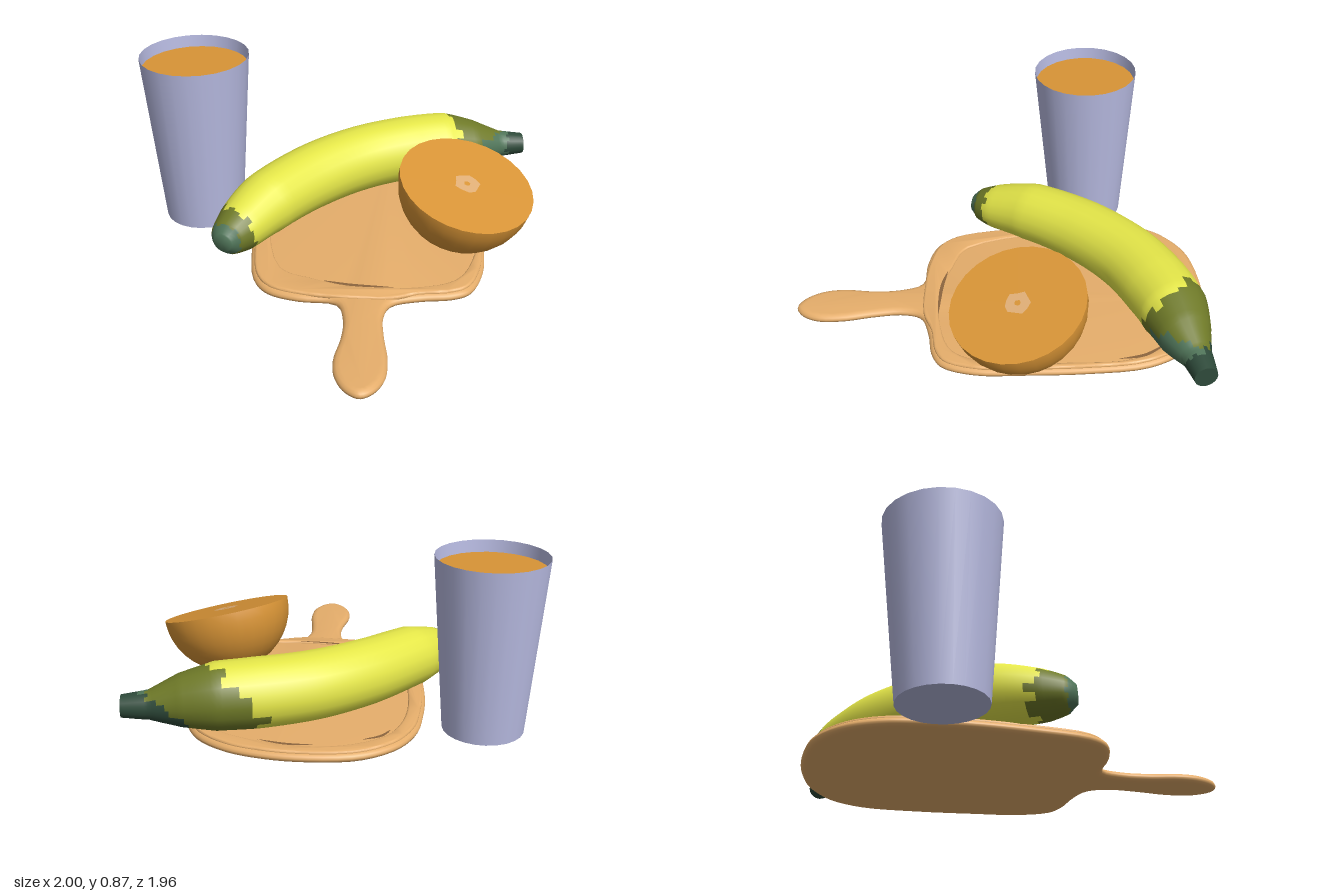
import * as THREE from 'three';
import { toCreasedNormals } from 'three/addons/utils/BufferGeometryUtils.js';

const mat = (name, color, side = THREE.FrontSide) => {
  const m = new THREE.MeshStandardMaterial({ color, side });
  m.name = name;
  return m;
};

const add = (parent, name, geometry, material, x = 0, y = 0, z = 0) => {
  const m = new THREE.Mesh(geometry, material);
  m.name = name;
  m.position.set(x, y, z);
  parent.add(m);
};

// Smooth closed outline through [x, z] points, as 2D points
const outline = (pts, n, scale = 1) => new THREE.CatmullRomCurve3(
  pts.map(([x, z]) => new THREE.Vector3(x * scale, (z - 0.07) * scale + 0.07, 0)), true
).getPoints(n).slice(0, -1).map(p => new THREE.Vector2(p.x, p.y));

// Bevelled slab lying flat, its top face at y = 0
function slab(shape, thickness, bevel, inset) {
  const g = new THREE.ExtrudeGeometry(shape, {
    depth: thickness - 2 * bevel, bevelThickness: bevel, bevelSize: inset,
    bevelOffset: -inset, bevelSegments: 3, curveSegments: 1
  });
  g.translate(0, 0, bevel).rotateX(Math.PI / 2);
  return toCreasedNormals(g, 0.9);
}

function board(wood, groove) {
  const group = new THREE.Group();
  group.name = 'choppingBoard';
  const body = [[-0.62, 0.44], [-0.72, 0.3], [-0.78, 0.16], [-0.76, 0.04], [-0.6, -0.17], [-0.4, -0.39],
    [-0.25, -0.52], [-0.1, -0.625], [0.08, -0.675], [0.28, -0.635], [0.48, -0.48], [0.61, -0.32],
    [0.69, -0.16], [0.71, 0.02], [0.64, 0.2], [0.44, 0.41], [0.22, 0.6], [0.03, 0.75], [-0.13, 0.81],
    [-0.22, 0.78], [-0.33, 0.69], [-0.45, 0.625]];
  const handle = [[-0.54, 0.66], [-0.64, 0.76], [-0.74, 0.88], [-0.84, 0.96], [-0.93, 0.98], [-0.985, 0.96],
    [-1, 0.89], [-0.97, 0.8], [-0.9, 0.72], [-0.78, 0.64], [-0.68, 0.55]];
  const inner = [[0.1, -0.59], [0.34, -0.5], [0.54, -0.26], [0.63, 0], [0.57, 0.22], [0.35, 0.43], [0.1, 0.64],
    [-0.13, 0.72], [-0.33, 0.61], [-0.5, 0.42], [-0.58, 0.26], [-0.63, 0.08], [-0.3, -0.37], [-0.06, -0.55]];

  // Base with handle
  add(group, 'boardBase', slab(new THREE.Shape(outline([...body, ...handle], 130)), 0.044, 0.02, 0.03),
    wood, 0, 0.075, 0);

  // Raised rim around the cutting area
  const rim = new THREE.Shape(outline(body, 90, 0.975));
  rim.holes.push(new THREE.Path(outline(inner, 70)));
  add(group, 'boardRim', slab(rim, 0.024, 0.008, 0.012), wood, 0, 0.086, 0);

  // Tapering carved marks along the inside of the rim
  const marks = [[[0.02, -0.57], [0.1, -0.585], [0.19, -0.555]], [[0.39, -0.45], [0.48, -0.36], [0.55, -0.24]],
    [[0.63, 0.05], [0.6, 0.17], [0.52, 0.27]], [[-0.57, 0.3], [-0.5, 0.42], [-0.37, 0.58]]];
  for (const pts of marks) {
    const c = new THREE.SplineCurve(pts.map(p => new THREE.Vector2(...p)));
    const edge = s => Array.from({ length: 13 }, (_, i) => {
      const p = c.getPoint(i / 12), t = c.getTangent(i / 12), w = s * 0.009 * Math.sin(Math.PI * i / 12);
      return new THREE.Vector2(p.x - t.y * w, p.y + t.x * w);
    });
    const shape = new THREE.Shape([...edge(1), ...edge(-1).reverse().slice(1, -1)]);
    add(group, 'boardGroove', new THREE.ShapeGeometry(shape).rotateX(Math.PI / 2), groove, 0, 0.0875, 0);
  }
  return group;
}

function banana(materials) {
  // Stations along the fruit: x, y, z, radius
  const st = [[-0.79, 0.185, -0.145, 0.045], [-0.75, 0.188, -0.16, 0.085], [-0.66, 0.2, -0.183, 0.118],
    [-0.45, 0.23, -0.228, 0.152], [-0.1, 0.243, -0.252, 0.162], [0.2, 0.247, -0.212, 0.166],
    [0.45, 0.249, -0.115, 0.168], [0.62, 0.249, -0.02, 0.162], [0.75, 0.235, 0.075, 0.126],
    [0.87, 0.22, 0.155, 0.07], [0.97, 0.215, 0.233, 0.054]];
  const n = st.length - 1, rows = 80, sides = 20;
  const curve = new THREE.CatmullRomCurve3(st.map(s => new THREE.Vector3(s[0], s[1], s[2])));
  const up = new THREE.Vector3(0, 1, 0), pos = [];
  // Sweep a round section; the first and last rings close the ends
  for (let i = -1; i <= rows + 1; i++) {
    const t = THREE.MathUtils.clamp(i / rows, 0, 1), k = Math.min(Math.floor(t * n), n - 1);
    const r = i < 0 || i > rows ? 0 : THREE.MathUtils.lerp(st[k][3], st[k + 1][3], t * n - k);
    const c = curve.getPoint(t), side = curve.getTangent(t).cross(up).normalize();
    for (let j = 0; j < sides; j++) {
      const a = j / sides * Math.PI * 2;
      const p = c.clone().addScaledVector(side, 1.03 * r * Math.cos(a)).addScaledVector(up, r * Math.sin(a));
      pos.push(p.x, p.y, p.z);
    }
  }
  // Skin colour at station s and angle a (0 front, a quarter turn to the top)
  const skinAt = (s, a) => {
    if (s < 0.85) return 2;
    if (s < 2 - 0.3 * Math.cos(a - Math.PI / 4)) return 1;
    if (s < 6.7 + 0.7 * Math.cos(a - Math.PI / 4)) return 0;
    if (s < 8.1 + Math.cos(a - Math.PI * 0.6)) return 1;
    return s > 9.3 || (a > Math.PI * 0.6 && a < Math.PI * 1.75) ? 3 : 2;
  };
  const faces = [[], [], [], []];
  for (let i = 0; i < rows + 2; i++) {
    for (let j = 0; j < sides; j++) {
      const s = (i - 0.5) / rows * n + 0.13 * Math.sin(j * 2.4);
      const a = i * sides + j, b = i * sides + (j + 1) % sides;
      faces[skinAt(s, (j + 0.5) / sides * Math.PI * 2)].push(a, a + sides, b, b, a + sides, b + sides);
    }
  }
  const g = new THREE.BufferGeometry();
  g.setAttribute('position', new THREE.Float32BufferAttribute(pos, 3));
  g.setIndex(faces.flat());
  let start = 0;
  faces.forEach((f, i) => { g.addGroup(start, f.length, i); start += f.length; });
  const m = new THREE.Mesh(toCreasedNormals(g, 0.9), materials);
  m.name = 'banana';
  return m;
}

export function createModel() {
  const wood = mat('wood', 0xe6ae6b), groove = mat('grooveBrown', 0x8c653e, THREE.DoubleSide);
  const orange = mat('orange', 0xd89436), core = mat('paleCore', 0xdfae76);
  const glassMat = mat('glass', 0xb8bbe2, THREE.DoubleSide);
  const skin = [mat('yellowSkin', 0xe8ea4a), mat('oliveSkin', 0x6f7a28), mat('greenTip', 0x507559),
    mat('deepGreenTip', 0x2f4b3b)];

  const model = new THREE.Group();
  model.name = 'breakfastSet';
  model.add(board(wood, groove), banana(skin));

  // Half orange, its cut face tilted to the front
  const half = new THREE.Group();
  half.name = 'halfOrange';
  half.position.set(0.135, 0.41, 0.545);
  half.rotation.x = 0.312;
  add(half, 'orangePeel', new THREE.SphereGeometry(0.325, 28, 10, 0, Math.PI * 2, Math.PI / 2, Math.PI / 2), orange);
  add(half, 'orangeCutFace', new THREE.CircleGeometry(0.325, 28).rotateX(-Math.PI / 2), orange);
  const spot = (r, wobble) => Array.from({ length: 11 }, (_, i) => {
    const a = i / 11 * Math.PI * 2, q = r * (1 + wobble * Math.sin(i * 2.7));
    return new THREE.Vector2(q * Math.cos(a), q * Math.sin(a));
  });
  const pith = new THREE.Shape(spot(0.06, 0.12));
  pith.holes.push(new THREE.Path(spot(0.015, 0.1)));
  add(half, 'orangeCore', new THREE.ShapeGeometry(pith).rotateX(-Math.PI / 2), core, 0, 0.003, 0);
  model.add(half);

  // Tapered glass of juice
  const glass = new THREE.Group();
  glass.name = 'juiceGlass';
  glass.position.set(-0.465, 0, -0.715);
  add(glass, 'glassWall', new THREE.CylinderGeometry(0.268, 0.198, 0.87, 24, 1, true), glassMat, 0, 0.435, 0);
  add(glass, 'glassBottom', new THREE.CircleGeometry(0.198, 24).rotateX(Math.PI / 2), glassMat);
  add(glass, 'juice', new THREE.CircleGeometry(0.262, 24).rotateX(-Math.PI / 2), orange, 0, 0.81, 0);
  model.add(glass);
  return model;
}
